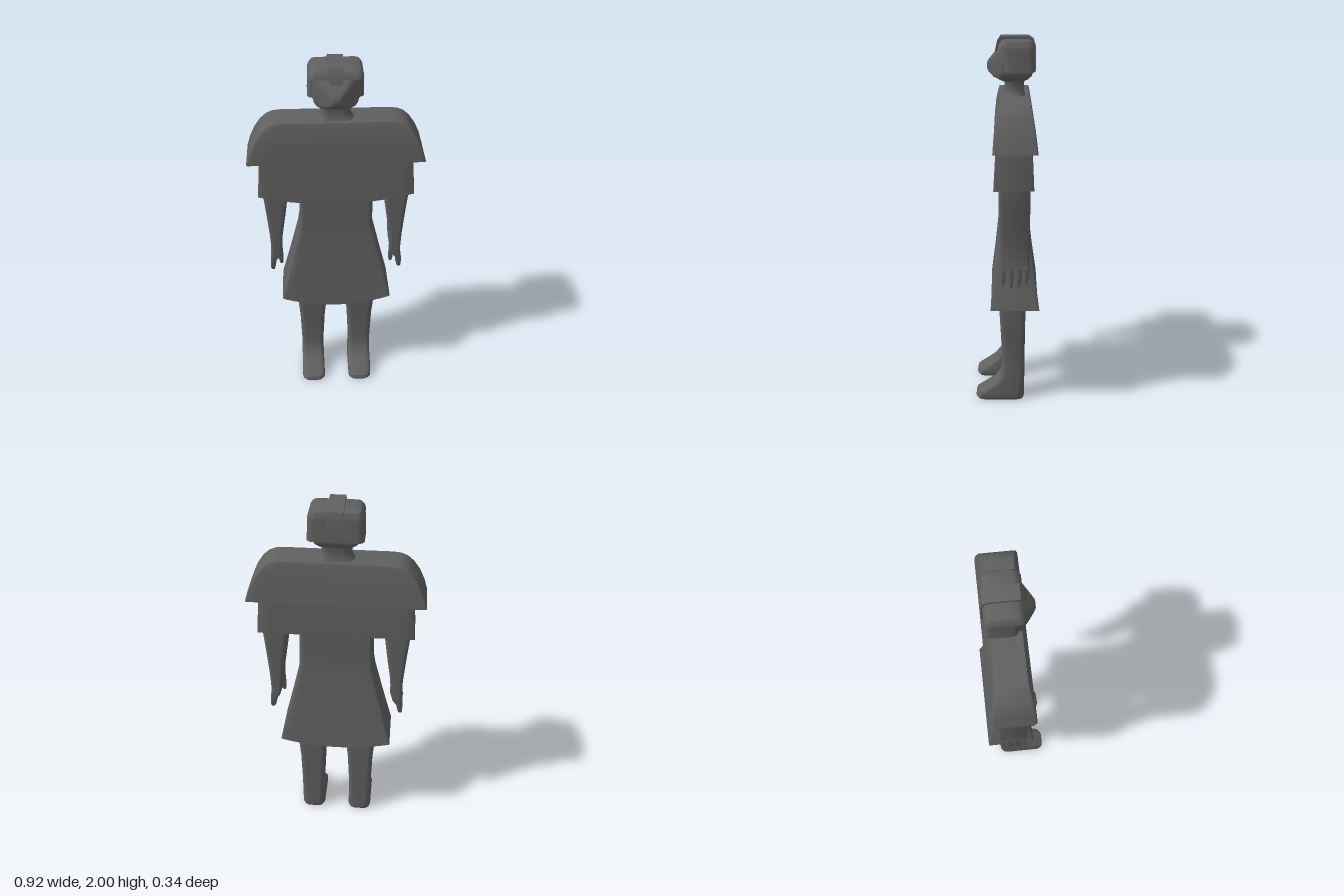
import * as THREE from 'three';
import { toCreasedNormals } from 'three/addons/utils/BufferGeometryUtils.js';

const grey = new THREE.MeshStandardMaterial({ color: 0x606060, side: THREE.DoubleSide });
grey.name = 'dark grey';

const EDGE = 16, ARC = 4;

// Rounded rectangle in plan; its front and back edges are subdivided for shaped hems.
function ringPoints({ y, x, z, r = 0.01, hem }) {
  const [x0, x1] = x, [z0, z1] = z, pts = [];
  const corner = (cx, cz, start) => {
    for (let i = 0; i <= ARC; i++) {
      const t = start + (i / ARC) * Math.PI / 2;
      pts.push([cx + r * Math.sin(t), cz + r * Math.cos(t)]);
    }
  };
  const edge = (a, b, ez) => {
    for (let i = 1; i < EDGE; i++) pts.push([a + (b - a) * i / EDGE, ez]);
  };
  edge(x0 + r, x1 - r, z1);
  corner(x1 - r, z1 - r, 0);
  corner(x1 - r, z0 + r, Math.PI / 2);
  edge(x1 - r, x0 + r, z0);
  corner(x0 + r, z0 + r, Math.PI);
  corner(x0 + r, z1 - r, Math.PI * 1.5);
  return pts.map(([px, pz]) => [px, y + (hem ? hem(px, pz) : 0), pz]);
}

// Skin over rings listed from top to bottom.
function loft(rings, { top = true, bottom = true, crease = 0.6 } = {}) {
  const pos = [], idx = [], loops = rings.map(ringPoints), n = loops[0].length;
  loops.forEach(l => l.forEach(p => pos.push(...p)));
  for (let i = 0; i < loops.length - 1; i++) {
    for (let j = 0; j < n; j++) {
      const k = (j + 1) % n, a = i * n + j, b = a + n, c = (i + 1) * n + k, d = i * n + k;
      idx.push(a, b, c, a, c, d);
    }
  }
  const cap = (i, up) => {
    const { x, y, z } = rings[i], c = pos.length / 3;
    pos.push((x[0] + x[1]) / 2, y, (z[0] + z[1]) / 2);
    for (let j = 0; j < n; j++) {
      const a = i * n + j, b = i * n + (j + 1) % n;
      idx.push(c, up ? a : b, up ? b : a);
    }
  };
  if (top) cap(0, true);
  if (bottom) cap(rings.length - 1, false);
  const g = new THREE.BufferGeometry();
  g.setAttribute('position', new THREE.Float32BufferAttribute(pos, 3));
  g.setIndex(idx);
  return toCreasedNormals(g, crease);
}

const sym = (y, hx, zb, zf, r, hem) => ({ y, x: [-hx, hx], z: [zb, zf], r, hem });
const ring = (y, x0, x1, zb, zf, r) => ({ y, x: [x0, x1], z: [zb, zf], r });
const mirror = rings => rings.map(q => ({ ...q, x: [-q.x[1], -q.x[0]] }));

export function createModel() {
  const model = new THREE.Group();
  const add = (name, geometry) => {
    const m = new THREE.Mesh(geometry, grey);
    m.name = name;
    model.add(m);
    return m;
  };
  const pair = (name, rings) => {
    add('left' + name, loft(rings));
    add('right' + name, loft(mirror(rings)));
  };

  // Upper cape: rounded shoulders, front hem dipping in the middle
  const capeHem = (x, z) => z > 0 ? -0.08 * (1 - THREE.MathUtils.smoothstep(Math.abs(x), 0.08, 0.37)) : 0;
  add('upperCape', loft([
    sym(1.70, 0.29, -0.12, 0.035, 0.01),
    sym(1.695, 0.325, -0.122, 0.037, 0.01),
    sym(1.68, 0.355, -0.126, 0.041, 0.01),
    sym(1.65, 0.385, -0.132, 0.049, 0.01),
    sym(1.60, 0.417, -0.14, 0.058, 0.01),
    sym(1.54, 0.443, -0.148, 0.064, 0.01),
    sym(1.48, 0.46, -0.155, 0.069, 0.01, capeHem),
  ], { bottom: false }));

  // Lower cape tier
  const tierHem = (x, z) => z > 0 ? -0.055 * Math.max(0, 1 - (x / 0.41) ** 2) : 0;
  add('lowerCape', loft([
    sym(1.56, 0.39, -0.125, 0.05, 0.006),
    sym(1.285, 0.41, -0.138, 0.066, 0.006, tierHem),
  ], { top: false, bottom: false }));

  // Dress: bodice and flared open skirt
  const skirtHem = (x, z) => (z > 0 ? -0.055 : z < -0.15 ? -0.04 : 0) * Math.max(0, 1 - (x / 0.305) ** 2);
  add('dress', loft([
    sym(1.66, 0.2, -0.11, 0.03, 0.02),
    sym(1.25, 0.194, -0.118, 0.04, 0.02),
    sym(1.08, 0.197, -0.118, 0.038, 0.02),
    sym(1.02, 0.206, -0.122, 0.04, 0.018),
    sym(0.80, 0.256, -0.146, 0.062, 0.012),
    sym(0.595, 0.305, -0.175, 0.086, 0.006, skirtHem),
  ], { bottom: false }));

  // Arms with flat palms
  pair('Arm', [
    ring(1.62, 0.23, 0.39, -0.115, 0.035, 0.02),
    ring(1.26, 0.256, 0.386, -0.12, 0.04, 0.02),
    ring(1.15, 0.27, 0.375, -0.12, 0.04, 0.02),
    ring(1.0, 0.292, 0.362, -0.12, 0.038, 0.018),
    ring(0.90, 0.298, 0.357, -0.12, 0.038, 0.015),
    ring(0.86, 0.31, 0.36, -0.12, 0.038, 0.012),
    ring(0.835, 0.328, 0.364, -0.118, 0.036, 0.012),
  ]);

  // Four tapered fingers and a thumb on each hand
  [[0.019, 0.765], [-0.022, 0.75], [-0.063, 0.752], [-0.101, 0.775]].forEach(([z, tip], i) => {
    pair('Finger' + (i + 1), [
      ring(0.86, 0.326, 0.362, z - 0.019, z + 0.019, 0.012),
      ring(0.81, 0.335, 0.366, z - 0.015, z + 0.015, 0.012),
      ring(tip + 0.012, 0.341, 0.366, z - 0.009, z + 0.009, 0.008),
      ring(tip, 0.345, 0.362, z - 0.005, z + 0.005, 0.004),
    ]);
  });
  pair('Thumb', [
    ring(0.91, 0.296, 0.33, -0.01, 0.034, 0.012),
    ring(0.85, 0.293, 0.32, 0, 0.032, 0.012),
    ring(0.815, 0.295, 0.315, 0.006, 0.028, 0.009),
    ring(0.805, 0.299, 0.311, 0.011, 0.023, 0.005),
  ]);

  // Legs running into pointed feet
  pair('Leg', [
    ring(0.90, 0.02, 0.2, -0.1, 0.03, 0.025),
    ring(0.57, 0.05, 0.223, -0.104, 0.04, 0.025),
    ring(0.40, 0.066, 0.209, -0.102, 0.031, 0.025),
    ring(0.20, 0.075, 0.203, -0.1, 0.021, 0.025),
    ring(0.14, 0.075, 0.203, -0.1, 0.033, 0.025),
    ring(0.10, 0.074, 0.203, -0.1, 0.066, 0.028),
    ring(0.065, 0.073, 0.204, -0.1, 0.118, 0.034),
    ring(0.035, 0.072, 0.204, -0.1, 0.165, 0.04),
    ring(0.015, 0.072, 0.204, -0.1, 0.17, 0.04),
    ring(0, 0.078, 0.198, -0.094, 0.16, 0.036),
  ]);

  // Neck flaring into the shoulders
  add('neck', loft([
    sym(1.80, 0.09, -0.1, 0.02, 0.045),
    sym(1.765, 0.077, -0.092, 0.01, 0.045),
    sym(1.73, 0.076, -0.09, 0.008, 0.045),
    sym(1.71, 0.083, -0.094, 0.012, 0.045),
    sym(1.69, 0.1, -0.1, 0.02, 0.045),
  ], { crease: 1 }));

  // Skull and jaw
  add('head', loft([
    sym(1.96, 0.112, -0.12, 0.03, 0.03),
    sym(1.90, 0.116, -0.135, 0.033, 0.03),
    sym(1.83, 0.116, -0.138, 0.042, 0.03),
    sym(1.805, 0.108, -0.13, 0.045, 0.03),
    sym(1.785, 0.092, -0.11, 0.038, 0.03),
    sym(1.775, 0.075, -0.09, 0.02, 0.03),
  ], { crease: 1 }));

  // Wedge-shaped muzzle, lofted along z
  add('muzzle', loft([
    sym(0.1, 0.018, -1.865, -1.835, 0.008),
    sym(0.092, 0.028, -1.88, -1.818, 0.012),
    sym(0.065, 0.062, -1.91, -1.795, 0.02),
    sym(0.03, 0.102, -1.95, -1.785, 0.025),
  ]).rotateX(Math.PI / 2));

  // Open-faced helmet: crown with brim, then side and back guard
  add('helmetCrown', loft([
    sym(1.987, 0.105, -0.115, 0.005, 0.03),
    sym(1.98, 0.122, -0.13, 0.025, 0.03),
    sym(1.96, 0.133, -0.14, 0.04, 0.03),
    sym(1.938, 0.137, -0.143, 0.045, 0.03),
  ]));
  add('helmetGuard', loft([
    sym(1.95, 0.136, -0.142, 0.018, 0.03),
    sym(1.83, 0.141, -0.147, 0.012, 0.03),
  ]));

  // Crest strip over the middle of the helmet
  const crestSide = new THREE.Shape([
    [0.04, 1.915], [0.06, 1.92], [0.048, 1.975], [0.03, 2.0], [-0.115, 2.0],
    [-0.14, 1.985], [-0.152, 1.95], [-0.152, 1.83], [-0.13, 1.83], [-0.1, 1.95], [0, 1.95],
  ].map(p => new THREE.Vector2(...p)));
  const crest = new THREE.ExtrudeGeometry(crestSide, { depth: 0.08, bevelEnabled: false });
  crest.rotateY(-Math.PI / 2).translate(0.04, 0, 0);
  const cp = crest.attributes.position;
  for (let i = 0; i < cp.count; i++) {
    if (cp.getZ(i) > 0 && cp.getY(i) < 1.93) cp.setX(i, cp.getX(i) * 0.75);
  }
  add('helmetCrest', toCreasedNormals(crest, 0.6));

  return model;
}
